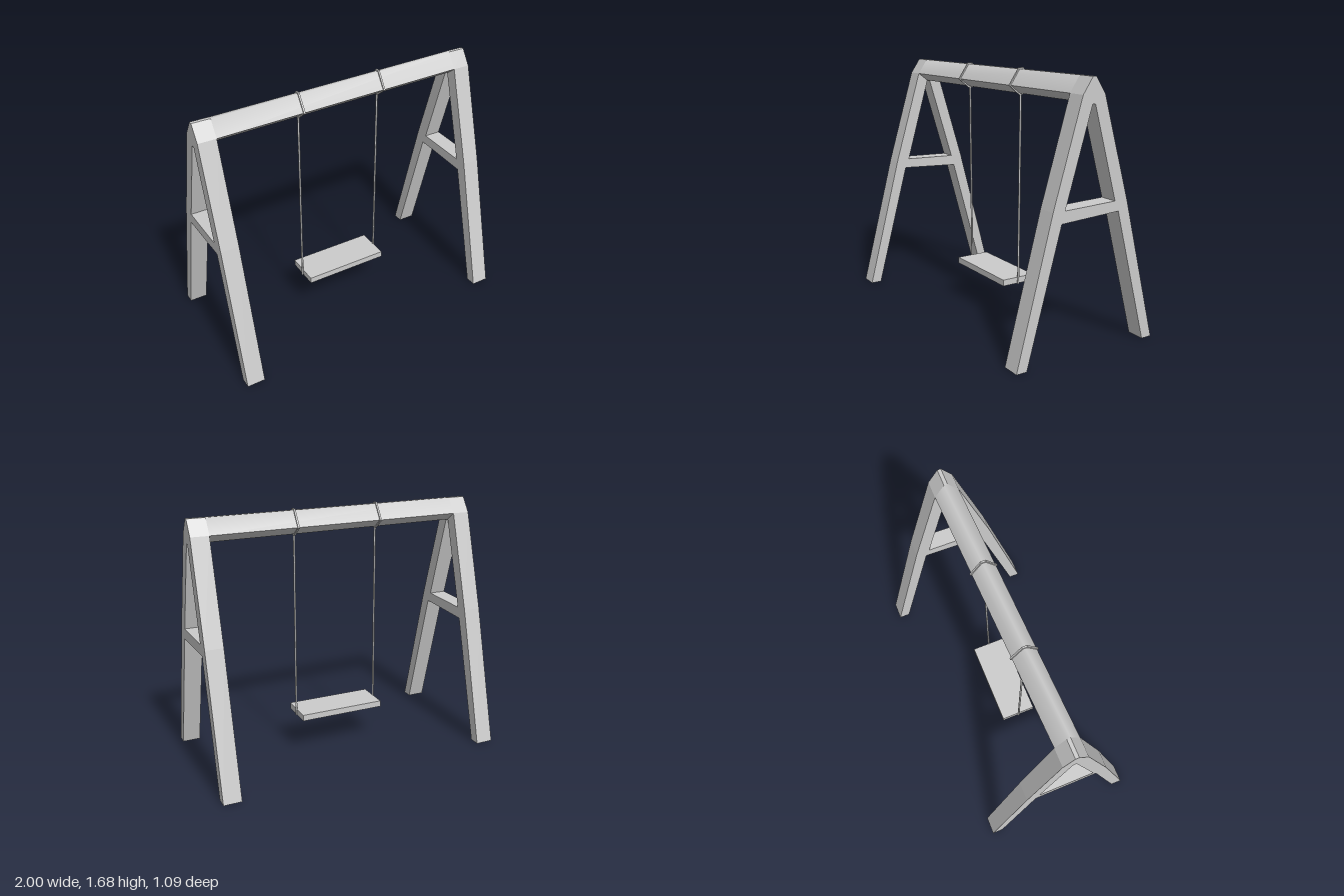
import * as THREE from 'three';
import { toCreasedNormals } from 'three/addons/utils/BufferGeometryUtils.js';

const SKEW = 0.027; // each end frame sits slightly off centre, in opposite directions
const FRAME_W = 0.12;
const INNER_X = 1 - FRAME_W;

// Profile points are (back, up) pairs
const toPoints = (list) => list.map(([s, y]) => new THREE.Vector2(s, y));

// Extrude a side profile along x, starting at x0
function extrudeAlongX(outline, holes, x0, width) {
  const shape = new THREE.Shape(toPoints(outline));
  holes.forEach((h) => shape.holes.push(new THREE.Path(toPoints(h))));
  const geo = new THREE.ExtrudeGeometry(shape, { depth: width, bevelEnabled: false });
  geo.rotateY(Math.PI / 2);
  geo.translate(x0, 0, 0);
  return geo;
}

export function createModel() {
  const group = new THREE.Group();
  const grey = new THREE.MeshStandardMaterial({ color: 0xcccccc });
  const add = (name, geo) => {
    const mesh = new THREE.Mesh(geo, grey);
    mesh.name = name;
    group.add(mesh);
    return mesh;
  };

  // A-shaped end frames with a crossbar; the second is the first turned half round
  const frameOutline = [
    [-0.517, 0], [-0.445, 0], [-0.212, 0.845], [0.208, 0.865], [0.443, 0], [0.517, 0],
    [0.275, 0.92], [0.08, 1.57], [0.012, 1.67], [-0.012, 1.67], [-0.08, 1.57], [-0.275, 0.92],
  ];
  const opening = [[-0.01, 1.515], [0.01, 1.515], [0.18, 0.93], [-0.19, 0.92]];
  const frameGeo = extrudeAlongX(frameOutline, [opening], INNER_X, FRAME_W);
  frameGeo.translate(0, 0, -SKEW);
  add('leftFrame', frameGeo);
  add('rightFrame', frameGeo.clone().rotateY(Math.PI));

  // Kite-section top beam, sheared to join both frames
  const beamProfile = [
    [0.08, 1.57], [0.012, 1.67], [-0.012, 1.67], [-0.08, 1.57], [-0.01, 1.517], [0.01, 1.517],
  ];
  const beamGeo = extrudeAlongX(beamProfile, [], -INNER_X, 2 * INNER_X);
  const pos = beamGeo.attributes.position;
  for (let i = 0; i < pos.count; i++) {
    pos.setZ(i, pos.getZ(i) - (SKEW * pos.getX(i)) / INNER_X);
  }
  add('topBeam', toCreasedNormals(beamGeo, THREE.MathUtils.degToRad(65)));

  // Rope loops round the beam and hanging ropes
  const loopOutline = [
    [0.09, 1.57], [0.016, 1.679], [-0.016, 1.679], [-0.09, 1.57], [-0.013, 1.507], [0.013, 1.507],
  ];
  for (const side of [1, -1]) {
    const label = side > 0 ? 'left' : 'right';
    const x = side * 0.297;
    const shift = (-SKEW * x) / INNER_X;
    const loop = extrudeAlongX(loopOutline, [beamProfile], x - 0.006, 0.012);
    loop.translate(0, 0, shift);
    add(label + 'RopeLoop', loop);

    const path = new THREE.LineCurve3(
      new THREE.Vector3(x, 0.245, 0), new THREE.Vector3(x, 1.512, shift));
    add(label + 'Rope', new THREE.TubeGeometry(path, 1, 0.007, 8, false));
  }

  // Seat board
  const seat = add('seat', new THREE.BoxGeometry(0.59, 0.042, 0.238));
  seat.position.set(0, 0.269, -0.002);

  return group;
}
